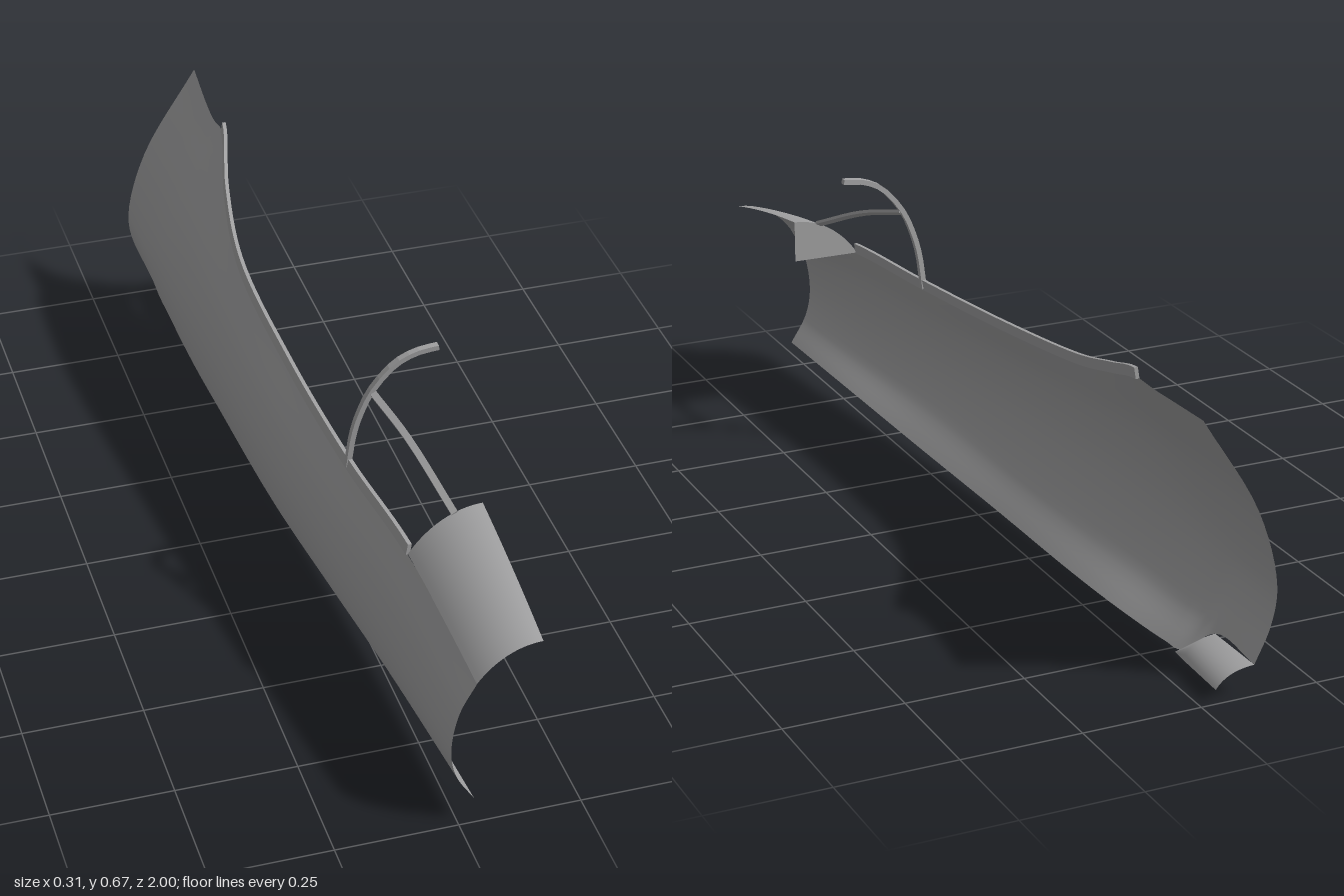
import * as THREE from 'three';

const V = (x, y, z) => new THREE.Vector3(x, y, z);
const CENTRE = 0.155; // x of the fuselage's middle plane

// Surface through rows of points
function loft(rows, flat = false) {
  const n = rows[0].length, pos = [], idx = [];
  rows.forEach(r => r.forEach(p => pos.push(p.x, p.y, p.z)));
  for (let i = 0; i < rows.length - 1; i++) {
    for (let j = 0; j < n - 1; j++) {
      const a = i * n + j, b = a + n;
      idx.push(a, a + 1, b, a + 1, b + 1, b);
    }
  }
  let g = new THREE.BufferGeometry();
  g.setAttribute('position', new THREE.Float32BufferAttribute(pos, 3));
  g.setIndex(idx);
  if (flat) g = g.toNonIndexed();
  g.computeVertexNormals();
  return g;
}

// Rectangular bar along points, with half-width w and half-height h, capped
function bar(points, w, h) {
  const corners = [[-1, -1], [1, -1], [1, 1], [-1, 1], [-1, -1]];
  const rows = points.map(p => corners.map(([a, b]) =>
    p.clone().addScaledVector(w, a).addScaledVector(h, b)));
  const cap = p => corners.map(() => p.clone());
  return loft([cap(points[0]), ...rows, cap(points[points.length - 1])], true);
}

// Stations: z, then x,y from the bottom edge round to the top edge
const STATIONS = [
  [1, 0.03, 0.06, -0.008, 0.125, -0.02, 0.19, -0.006, 0.28, 0.027, 0.347],
  [0.645, 0.012, 0.047, -0.035, 0.115, -0.05, 0.2, -0.035, 0.305, 0.003, 0.395],
  [0.35, -0.012, 0.027, -0.065, 0.11, -0.082, 0.205, -0.068, 0.305, -0.028, 0.4],
  [0, -0.04, 0.006, -0.092, 0.09, -0.115, 0.21, -0.098, 0.325, -0.052, 0.42],
  [-0.35, -0.05, 0, -0.11, 0.085, -0.135, 0.215, -0.115, 0.345, -0.062, 0.46],
  [-0.55, -0.055, 0.003, -0.12, 0.085, -0.145, 0.22, -0.115, 0.37, -0.037, 0.515],
  [-0.73, -0.065, 0.008, -0.125, 0.09, -0.15, 0.22, -0.11, 0.38, 0.005, 0.572],
  [-0.79, -0.07, 0.014, -0.13, 0.1, -0.151, 0.22, -0.11, 0.38, 0.002, 0.569],
  [-0.85, -0.11, 0.066, -0.142, 0.14, -0.153, 0.22, -0.111, 0.38, 0.003, 0.572],
  [-1, -0.112, 0.066, -0.145, 0.14, -0.156, 0.22, -0.112, 0.38, 0.012, 0.584],
];
const at = (s, k) => V(s[1 + 2 * k], s[2 + 2 * k], s[0]);

// Cowl section: part of an ellipse about the middle plane
function cowlPoint(t, angle) {
  const a = 0.205 - 0.03 * t;
  const b = 0.287 - 0.057 * t + 0.02 * t * (1 - t);
  return V(CENTRE - a * Math.cos(angle), 0.2 - 0.01 * t + b * Math.sin(angle), 0.645 + 0.355 * t);
}

export function createModel() {
  const model = new THREE.Group();
  const grey = new THREE.MeshStandardMaterial({ color: 0xa2a2a3, side: THREE.DoubleSide });
  grey.name = 'panel grey';
  const add = (name, geometry) => {
    const mesh = new THREE.Mesh(geometry, grey);
    mesh.name = name;
    model.add(mesh);
    return mesh;
  };

  // Side shell
  const lengthwise = [0, 1, 2, 3, 4].map(k =>
    new THREE.CatmullRomCurve3(STATIONS.map(s => at(s, k))).getPoints(72));
  const sections = lengthwise[0].map((_, i) =>
    new THREE.CatmullRomCurve3(lengthwise.map(c => c[i])).getPoints(24));
  add('sideShell', loft(sections));

  // Nose cowl over the front, closed by a bulkhead
  const start = 0.745, angles = [];
  for (let i = 0; i <= 16; i++) angles.push(start + (Math.PI / 2 - start) * i / 16);
  const cowl = [];
  for (let i = 0; i <= 8; i++) cowl.push(angles.map(a => cowlPoint(1 - i / 8, a)));
  add('noseCowl', loft(cowl));
  const rim = angles.map(a => cowlPoint(0, a));
  const wall = new THREE.Shape(rim.map(p => new THREE.Vector2(p.x, p.y)));
  wall.lineTo(CENTRE, rim[0].y);
  add('cowlBulkhead', new THREE.ShapeGeometry(wall)).position.z = 0.645;

  // Sill rail along the top edge of the cockpit opening
  const sill = lengthwise[4].slice(8, 49).map(p => V(p.x + 0.003, p.y + 0.01, p.z));
  add('sillRail', bar(sill, V(0.004, 0, 0), V(0.002, 0.012, 0)));

  // Lower rear fairing, curling inwards from the shell edge
  const fairing = [
    [-1, -0.112, 0.066, -0.03, 0.03],
    [-0.85, -0.11, 0.066, -0.04, 0.025],
    [-0.79, -0.07, 0.014, -0.06, 0.01],
  ].map(([z, x0, y0, x1, y1]) => new THREE.QuadraticBezierCurve3(
    V(x0, y0, z), V((x0 + x1) / 2 + 0.018, y0 - 0.002, z), V(x1, y1, z)).getPoints(8));
  add('rearFairing', loft(fairing));

  // Windscreen arch, half of the hoop
  const arch = new THREE.SplineCurve([
    [-0.026, 0.402], [-0.018, 0.475], [-0.004, 0.53], [0.02, 0.585],
    [0.063, 0.637], [0.108, 0.66], [0.155, 0.666],
  ].map(p => new THREE.Vector2(...p)));
  const outer = [], inner = [];
  for (let i = 0; i <= 14; i++) {
    const p = arch.getPoint(i / 14), t = arch.getTangent(i / 14);
    outer.push(new THREE.Vector2(p.x - t.y * 0.0055, p.y + t.x * 0.0055));
    inner.unshift(new THREE.Vector2(p.x + t.y * 0.0055, p.y - t.x * 0.0055));
  }
  const hoop = new THREE.ExtrudeGeometry(new THREE.Shape([...outer, ...inner]),
    { depth: 0.014, bevelEnabled: false });
  // Lean the hoop slightly backward at its foot
  const hp = hoop.attributes.position;
  for (let i = 0; i < hp.count; i++) hp.setZ(i, hp.getZ(i) + 0.336 + (hp.getY(i) - 0.4) * 0.05);
  hoop.computeVertexNormals();
  add('windscreenArch', hoop);

  // Windscreen strut from the arch to the cowl
  const strut = new THREE.CatmullRomCurve3([
    V(0.02, 0.58, 0.352), V(0.056, 0.545, 0.48), V(0.097, 0.475, 0.648),
  ]).getPoints(10);
  add('windscreenStrut', bar(strut, V(0.006, 0.0035, 0), V(-0.001, 0.003, 0.001)));

  return model;
}
